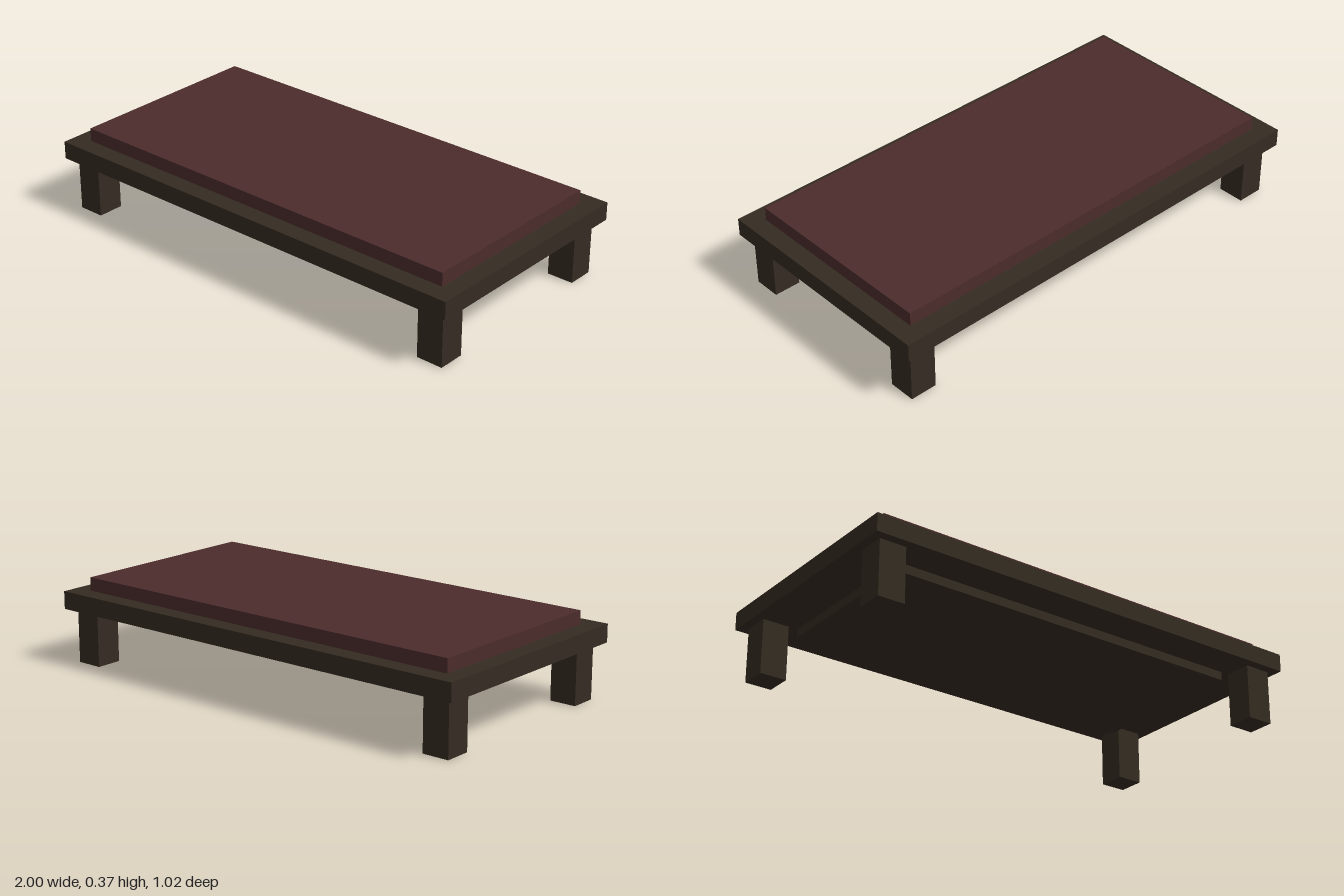
import * as THREE from 'three';

export function createModel() {
  const model = new THREE.Group();
  model.name = 'lowPlatform';

  const wood = new THREE.MeshStandardMaterial({ color: 0x352c22 });
  wood.name = 'dark wood';
  const fabric = new THREE.MeshStandardMaterial({ color: 0x4c2c2c });
  fabric.name = 'maroon fabric';

  // Box given by its size, its bottom height and its centre on the floor plan
  function addBox(name, material, width, depth, bottom, top, x = 0, z = 0) {
    const mesh = new THREE.Mesh(new THREE.BoxGeometry(width, top - bottom, depth), material);
    mesh.name = name;
    mesh.position.set(x, (bottom + top) / 2, z);
    model.add(mesh);
  }

  // Platform, mattress pad on top and support panel below
  addBox('platform', wood, 2, 1.02, 0.232, 0.308);
  addBox('mattressPad', fabric, 1.846, 0.864, 0.308, 0.365);
  addBox('supportPanel', wood, 1.615, 0.714, 0.195, 0.232);

  // Four square legs
  for (const [side, x] of [['Left', 0.904], ['Right', -0.904]]) {
    for (const [end, z] of [['front', 0.413], ['back', -0.413]]) {
      addBox(`${end}${side}Leg`, wood, 0.115, 0.115, 0, 0.232, x, z);
    }
  }

  return model;
}
